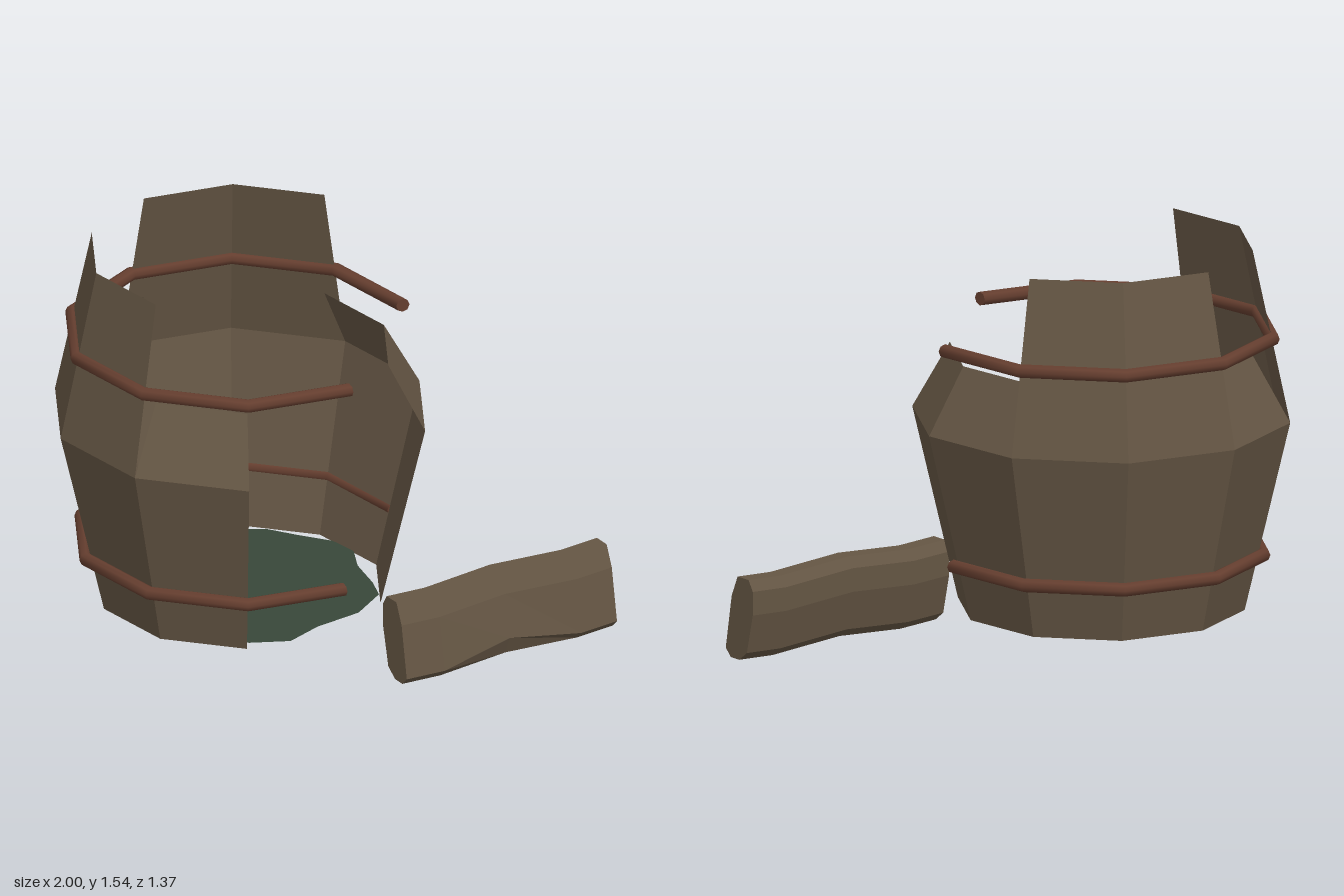
import * as THREE from 'three';

const CX = -0.295, CZ = -0.012;      // barrel axis
const STEP = Math.PI / 5;            // ten staves to a full ring

const wood = new THREE.MeshStandardMaterial({ color: 0x655644, side: THREE.DoubleSide, flatShading: true });
wood.name = 'weathered wood';
const rust = new THREE.MeshStandardMaterial({ color: 0x653e2f });
rust.name = 'rusty iron';
const slime = new THREE.MeshStandardMaterial({ color: 0x384739, side: THREE.DoubleSide });
slime.name = 'murky green';

function faceted(points, name, material) {
  const g = new THREE.BufferGeometry();
  g.setAttribute('position', new THREE.Float32BufferAttribute(points.flat(), 3));
  g.computeVertexNormals();
  const mesh = new THREE.Mesh(g, material);
  mesh.name = name;
  return mesh;
}

// One bent stave: foot, belly and top, spanning one tenth of the ring
function stave(index, top) {
  const rows = [[0.535, 0.18], [0.705, 0.9], [0.565, top]];
  const at = ([r, y], k) => [CX + r * Math.cos(k * STEP), y, CZ + r * Math.sin(k * STEP)];
  const points = [];
  for (let j = 0; j < 2; j++) {
    const a = at(rows[j], index), b = at(rows[j], index + 1);
    const c = at(rows[j + 1], index), d = at(rows[j + 1], index + 1);
    points.push(a, c, b, b, c, d);
  }
  return faceted(points, 'stave' + index, wood);
}

// Open hoop of eight straight runs with closed ends
function hoop(name, radius, y) {
  const tube = 0.026, arc = 8 * STEP;
  const group = new THREE.Group();
  group.name = name;
  const ring = new THREE.Mesh(new THREE.TorusGeometry(radius, tube, 8, 8, arc), rust);
  ring.name = name + 'Ring';
  group.add(ring);
  for (const [angle, turn] of [[0, Math.PI / 2], [arc, -Math.PI / 2]]) {
    const cap = new THREE.Mesh(new THREE.CircleGeometry(tube, 8), rust);
    cap.name = name + 'End';
    cap.rotation.set(turn, angle, 0, 'ZYX');
    cap.rotation.set(turn, 0, angle, 'ZYX');
    cap.position.set(radius * Math.cos(angle), radius * Math.sin(angle), 0);
    group.add(cap);
  }
  // Lay flat, starting at the edge of the front gap
  group.rotation.set(Math.PI / 2, 0, 2 * STEP, 'XYZ');
  group.position.set(CX, y, CZ);
  return group;
}

// Fallen stave: a leaning rounded section swept along five stations
function fallenStave() {
  const section = [[0.08, 0.045], [0.045, 0.25], [0.01, 0.33], [-0.055, 0.33], [-0.08, 0.29],
    [-0.08, 0.2], [-0.045, 0.05], [0, 0.015], [0.05, 0.015]];
  const stations = [[0, 0, 0], [0.18, -0.008, 0], [0.49, 0.012, 0.04], [0.83, -0.008, 0], [1, 0, 0]];
  const at = (s, i) => {
    const [t, lift, bump] = stations[s], [w, y] = section[i % section.length];
    return [0.08 + 0.9 * t + w * 0.212, y + lift + (i % section.length === 0 ? bump : 0), 0.605 - 0.195 * t + w * 0.977];
  };
  const points = [], n = section.length, last = stations.length - 1;
  for (let s = 0; s < last; s++) {
    for (let i = 0; i < n; i++) {
      const a = at(s, i), b = at(s, i + 1), c = at(s + 1, i), d = at(s + 1, i + 1);
      points.push(a, c, b, b, c, d);
    }
  }
  for (let i = 1; i < n - 1; i++) {
    points.push(at(0, 0), at(0, i), at(0, i + 1));
    points.push(at(last, 0), at(last, i + 1), at(last, i));
  }
  return faceted(points, 'fallenStave', wood);
}

// Ragged flat pool in the bottom of the barrel
function pool() {
  const outline = [[-.45, -.51], [-.29, -.52], [-.16, -.48], [-.03, -.43], [.06, -.34], [.16, -.25],
    [.2, -.14], [.17, -.02], [.17, .14], [.155, .24], [.03, .36], [-.155, .42], [-.29, .5], [-.44, .46],
    [-.5, .39], [-.65, .34], [-.72, .22], [-.73, .08], [-.8, -.01], [-.74, -.14], [-.73, -.26], [-.57, -.37]];
  const shape = new THREE.Shape(outline.map(([x, z]) => new THREE.Vector2(x, -z)));
  const mesh = new THREE.Mesh(new THREE.ShapeGeometry(shape), slime);
  mesh.name = 'pool';
  mesh.rotation.x = -Math.PI / 2;
  mesh.position.y = 0.185;
  return mesh;
}

export function createModel() {
  const model = new THREE.Group();
  model.name = 'brokenBarrel';

  // Staves 1 and 2 are missing; some of the rest are broken short
  const staves = new THREE.Group();
  staves.name = 'staves';
  const tall = [4, 5, 7, 8];
  for (const i of [0, 3, 4, 5, 6, 7, 8, 9]) staves.add(stave(i, tall.includes(i) ? 1.55 : 1.15));

  model.add(staves, hoop('upperHoop', 0.64, 1.217), hoop('lowerHoop', 0.605, 0.393), pool(), fallenStave());
  return model;
}
